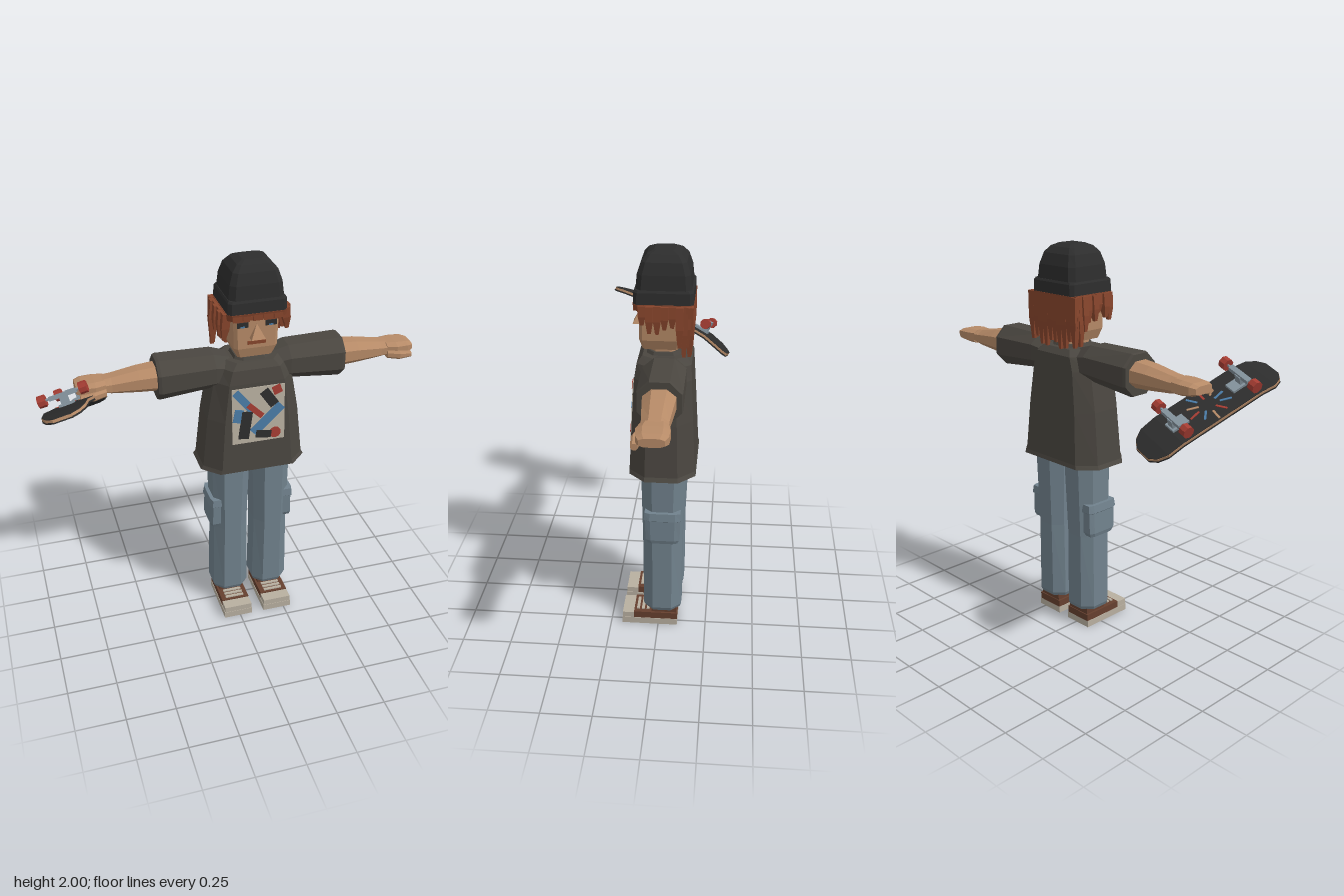
import * as THREE from 'three';

const mat = (name, color, side = THREE.FrontSide) => {
  const m = new THREE.MeshStandardMaterial({ color, flatShading: true, side });
  m.name = name;
  return m;
};

// Eight-sided cross-section; ku and kv are the flat share of each side (1 = rectangle)
function section([t, hu, hv, cu = 0, cv = 0], ku, kv) {
  const a = hu * ku, b = hv * kv;
  const pts = ku === 1
    ? [[hu, -hv], [hu, hv], [-hu, hv], [-hu, -hv]]
    : [[hu, -b], [hu, b], [a, hv], [-a, hv], [-hu, b], [-hu, -b], [-a, -hv], [a, -hv]];
  return pts.map(([u, v]) => [u + cu, t, v + cv]);
}

// Skin through cross-sections stacked along y: rings are [y, halfX, halfZ, offsetX, offsetZ]
function loft(rings, ku = 0.45, kv = ku, bottom = true) {
  const s = rings.map(r => section(r, ku, kv)), n = s[0].length, pos = [];
  const tri = (...p) => p.forEach(q => pos.push(...q));
  for (let j = 0; j < s.length - 1; j++) {
    for (let i = 0; i < n; i++) {
      const k = (i + 1) % n, a = s[j][i], b = s[j][k], c = s[j + 1][k], d = s[j + 1][i];
      tri(a, d, c); tri(a, c, b);
    }
  }
  const top = s[s.length - 1];
  for (let i = 1; i < n - 1; i++) {
    tri(top[0], top[i + 1], top[i]);
    if (bottom) tri(s[0][0], s[0][i], s[0][i + 1]);
  }
  const g = new THREE.BufferGeometry();
  g.setAttribute('position', new THREE.Float32BufferAttribute(pos, 3));
  g.computeVertexNormals();
  return g;
}

export function createModel() {
  const M = {
    black: mat('charcoal black', 0x2d2d2d),
    shirt: mat('faded dark cloth', 0x4a4640, THREE.DoubleSide),
    skin: mat('skin and wood', 0xb68a67),
    hair: mat('auburn hair', 0x87452c),
    denim: mat('denim', 0x71828d),
    cream: mat('cream', 0xb8afa0),
    red: mat('red', 0xa53d33),
    blue: mat('blue', 0x4a7ba6),
    shoe: mat('brown suede', 0x66402f),
    metal: mat('metal', 0x84939d),
  };
  const model = new THREE.Group();
  const body = new THREE.Group();
  body.name = 'skater';
  body.position.x = 0.1;
  model.add(body);

  const add = (parent, name, geo, m, x = 0, y = 0, z = 0) => {
    const mesh = new THREE.Mesh(geo, m);
    mesh.name = name;
    mesh.position.set(x, y, z);
    parent.add(mesh);
    return mesh;
  };
  const box = (parent, name, m, w, h, d, x, y, z) =>
    add(parent, name, new THREE.BoxGeometry(w, h, d), m, x, y, z);

  // Shirt, open at the hem
  add(body, 'shirt', loft([
    [0.915, 0.275, 0.163, 0, -0.023], [0.935, 0.262, 0.16, 0, -0.021],
    [1.2, 0.235, 0.147, 0, -0.021], [1.4, 0.2, 0.137, 0, -0.021],
    [1.47, 0.17, 0.13, 0, -0.025], [1.5, 0.13, 0.105, 0, -0.025],
  ], 0.7, 0.5, false), M.shirt);
  add(body, 'collar', loft([[1.485, 0.1, 0.09], [1.515, 0.085, 0.075]], 0.6), M.shirt, 0, 0, -0.02);

  // Chest print of thin plates
  const print = new THREE.Group();
  print.name = 'chestPrint';
  print.position.set(0, 1.23, 0.1265);
  print.rotation.x = -0.05;
  body.add(print);
  box(print, 'printPanel', M.cream, 0.27, 0.3, 0.006, 0.005, 0, 0);
  [ // colour, width, height, x, y, turn
    ['blue', 0.04, 0.14, -0.07, 0.08, 0.68], ['blue', 0.05, 0.2, 0.05, -0.03, -0.82],
    ['blue', 0.045, 0.07, -0.1, 0.005, -0.2], ['black', 0.055, 0.15, -0.063, -0.05, -0.15],
    ['black', 0.05, 0.1, 0.06, 0.085, 0.6], ['red', 0.03, 0.1, -0.012, 0.025, 0.8],
    ['red', 0.045, 0.045, 0.1, 0.125, 0.35], ['black', 0.08, 0.04, 0.03, -0.11, -0.15],
  ].forEach(([c, w, h, x, y, r], i) => {
    box(print, 'printBar', M[c], w, h, 0.003, x, y, 0.004 + i * 0.0004).rotation.z = r;
  });
  add(print, 'printDot', new THREE.CylinderGeometry(0.03, 0.03, 0.004, 10), M.red, 0.09, -0.11, 0.006)
    .rotation.x = Math.PI / 2;

  // Head and neck
  add(body, 'neck', loft([[1.46, 0.075, 0.065], [1.56, 0.075, 0.065]], 0.6), M.skin, 0, 0, -0.02);
  add(body, 'head', loft([
    [1.53, 0.088, 0.085, 0, -0.005], [1.58, 0.108, 0.1, 0, -0.006], [1.8, 0.115, 0.102, 0, -0.006],
  ], 0.85), M.skin);
  const nose = new THREE.ConeGeometry(0.05, 0.07, 4);
  nose.rotateY(Math.PI / 4).translate(0, 0.035, 0);
  add(body, 'nose', nose, M.skin, 0, 1.635, 0.095);
  box(body, 'mouth', M.hair, 0.09, 0.017, 0.008, 0, 1.61, 0.095);
  for (const s of [1, -1]) {
    box(body, 'brow', M.hair, 0.07, 0.014, 0.009, s * 0.07, 1.727, 0.097);
    box(body, 'eye', M.black, 0.055, 0.026, 0.008, s * 0.07, 1.704, 0.096);
    box(body, 'iris', M.blue, 0.022, 0.008, 0.009, s * 0.07, 1.695, 0.096);
  }

  // Hair: band, back panel and hanging strands
  add(body, 'hairBand', loft([[1.735, 0.145, 0.135], [1.768, 0.15, 0.142]], 0.85), M.hair, 0, 0, -0.022);
  box(body, 'backHair', M.hair, 0.25, 0.2, 0.05, 0, 1.655, -0.12);
  const strand = (x, z, length, lean) => {
    const g = loft([[-length, 0.008, 0.008], [-length * 0.55, 0.019, 0.017], [0, 0.02, 0.018]], 1);
    add(body, 'hairStrand', g, M.hair, x, 1.765, z).rotation.z = lean;
  };
  const wobble = i => Math.abs(Math.sin(i * 2.3 + 0.7));
  for (let i = 0; i < 10; i++) strand(-0.15 + i * 0.0333, -0.145, 0.21 + 0.055 * wobble(i), 0);
  for (const s of [1, -1]) {
    for (let i = 0; i < 7; i++) {
      strand(s * (0.145 + 0.012 * (i % 2)), 0.075 - i * 0.035, 0.085 + 0.05 * wobble(i + s) + (i > 4 ? 0.06 : 0), s * 0.09);
    }
    strand(s * 0.148, -0.12, 0.24, s * 0.06);
  }
  for (let i = 0; i < 5; i++) box(body, 'fringe', M.hair, 0.045, 0.02 + 0.012 * wobble(i), 0.012, -0.1 + i * 0.05, 1.745, 0.112);

  // Beanie with a folded brim
  add(body, 'beanieBrim', loft([[1.762, 0.143, 0.137], [1.768, 0.146, 0.14], [1.822, 0.144, 0.138], [1.832, 0.138, 0.132]], 0.88), M.black, 0, 0, -0.022);
  add(body, 'beanieCrown', loft([
    [1.825, 0.136, 0.13], [1.9, 0.128, 0.123], [1.955, 0.11, 0.105], [1.985, 0.083, 0.08], [2, 0.05, 0.048],
  ], 0.8), M.black, 0, 0, -0.022);

  // Arms, lofted outward from the shoulder
  for (const s of [1, -1]) {
    const limb = (name, rings, m, k) => {
      const g = loft(rings.map(([t, h, d, up = 0, z = 0]) => [t, h, d, -s * up, z]), k);
      add(body, name, g.rotateZ(-s * Math.PI / 2), m, 0, 1.43, -0.032);
    };
    limb('sleeve', [[0.11, 0.075, 0.09, 0], [0.19, 0.088, 0.104, 0.011], [0.46, 0.104, 0.104], [0.475, 0.1, 0.1]], M.shirt, 0.45);
    limb('arm', [
      [0.45, 0.065, 0.078, 0.005], [0.56, 0.058, 0.07, 0.003], [0.69, 0.042, 0.06, -0.002], [0.73, 0.036, 0.062],
    ], M.skin, 0.45);
    limb('hand', [
      [0.72, 0.036, 0.062], [0.77, 0.036, 0.074, 0, 0.002], [0.83, 0.03, 0.07, 0.002], [0.86, 0.02, 0.055, 0.002],
    ], M.skin, 0.6);
    limb('thumb', [
      [0.72, 0.02, 0.02, -0.018, 0.055], [0.78, 0.022, 0.022, -0.022, 0.072], [0.845, 0.014, 0.015, -0.026, 0.073],
    ], M.skin, 0.5);
  }

  // Trousers
  add(body, 'hips', loft([[0.89, 0.1, 0.09], [0.93, 0.2, 0.11], [1.05, 0.2, 0.11]], 0.6), M.denim, 0, 0, -0.027);
  for (const s of [1, -1]) {
    const leg = new THREE.Group();
    leg.name = s > 0 ? 'leftLeg' : 'rightLeg';
    leg.position.x = s * 0.111;
    body.add(leg);
    add(leg, 'trouserLeg', loft([
      [0.1, 0.088, 0.09, 0, -0.022], [0.12, 0.096, 0.098, 0, -0.022], [0.52, 0.09, 0.1, 0, -0.022],
      [0.93, 0.1, 0.112, -s * 0.003, -0.027],
    ], 0.5), M.denim);
    add(leg, 'cargoPocket', loft([
      [0.53, 0.03, 0.075], [0.55, 0.035, 0.085], [0.66, 0.032, 0.088], [0.665, 0.038, 0.094], [0.705, 0.032, 0.09],
    ], 0.7), M.denim, s * 0.08, 0, -0.025);

    // Shoe
    box(leg, 'sole', M.cream, 0.155, 0.035, 0.29, 0, 0.0175, 0.045);
    box(leg, 'toeCap', M.cream, 0.15, 0.032, 0.06, 0, 0.05, 0.158);
    box(leg, 'shoeUpper', M.shoe, 0.15, 0.037, 0.228, 0, 0.053, 0.014);
    box(leg, 'shoeCollar', M.shoe, 0.13, 0.045, 0.13, 0, 0.09, -0.03);
    for (let i = 0; i < 3; i++) box(leg, 'lace', M.cream, 0.1, 0.008, 0.015, 0, 0.074, 0.055 + i * 0.026);
  }

  // Skateboard held wheels-up, tilted to its long axis and axle direction
  const board = new THREE.Group();
  board.name = 'skateboard';
  const along = new THREE.Vector3(-0.275, 0.413, 0.868).normalize();
  const up = new THREE.Vector3().crossVectors(along, new THREE.Vector3(0.93, 0.32, 0.17)).normalize();
  const across = new THREE.Vector3().crossVectors(up, along);
  board.quaternion.setFromRotationMatrix(new THREE.Matrix4().makeBasis(across, up, along));
  board.position.set(-0.768, 1.355, -0.01);
  model.add(board);

  // Deck layers with rounded, kicked ends
  const half = [[0.37, 0.045, 0.033], [0.345, 0.082, 0.026], [0.3, 0.105, 0.014], [0.22, 0.108, 0]];
  const stations = [...half.map(([t, w, d]) => [-t, w, d]), ...half.slice().reverse()];
  const layer = (name, m, thick, lift, inset) => {
    const g = loft(stations.map(([t, w, d]) => [t, w - inset, thick, 0, d - lift]), 1);
    add(board, name, g.rotateX(Math.PI / 2), m);
  };
  layer('deckWood', M.skin, 0.007, 0, 0);
  layer('deckUnderside', M.black, 0.002, 0.008, 0.002);
  layer('deckGrip', M.black, 0.004, -0.009, -0.001);

  // Radiating painted strokes
  ['blue', 'skin', 'red', 'blue', 'skin', 'red', 'blue', 'skin', 'red', 'blue'].forEach((c, i) => {
    const a = (i + 0.3) * Math.PI / 5, r = 0.062 + 0.012 * (i % 2);
    box(board, 'paintStroke', M[c], 0.01, 0.003, 0.055, Math.sin(a) * r, 0.0115, Math.cos(a) * r * 1.15).rotation.y = a;
  });

  // Trucks and wheels
  for (const e of [1, -1]) {
    const z = e * 0.19;
    box(board, 'truckPlate', M.metal, 0.06, 0.012, 0.09, 0, 0.016, z - e * 0.02);
    box(board, 'truckPost', M.metal, 0.035, 0.045, 0.035, 0, 0.04, z);
    box(board, 'truckHanger', M.metal, 0.13, 0.022, 0.026, 0, 0.062, z);
    const axle = new THREE.CylinderGeometry(0.007, 0.007, 0.23, 6).rotateZ(Math.PI / 2);
    add(board, 'axle', axle, M.metal, 0, 0.063, z);
    for (const s of [1, -1]) {
      const wheel = new THREE.CylinderGeometry(0.029, 0.029, 0.036, 8).rotateZ(Math.PI / 2);
      add(board, 'wheel', wheel, M.red, s * 0.1, 0.063, z);
    }
  }
  return model;
}
